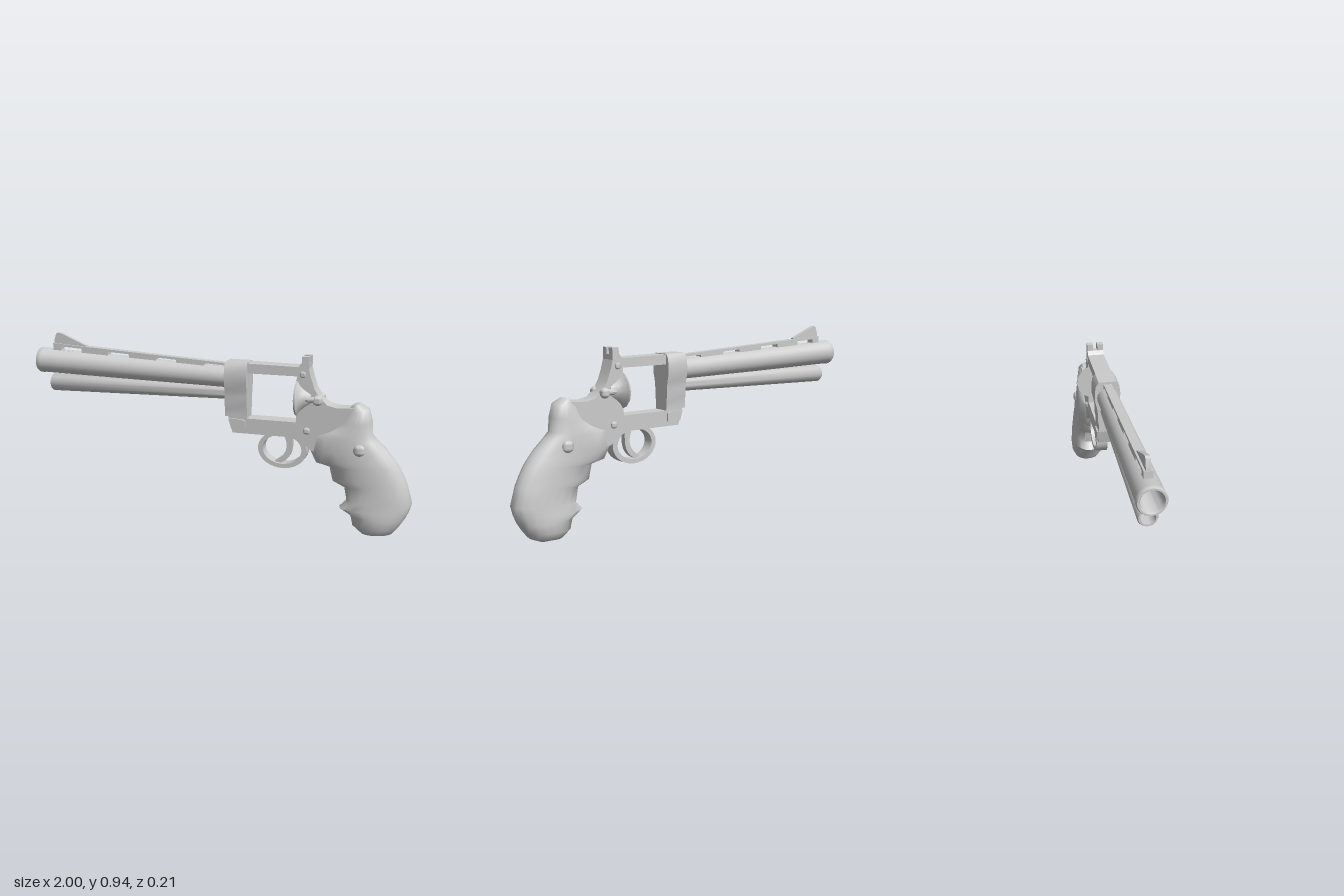
import * as THREE from 'three';
import { toCreasedNormals } from 'three/addons/utils/BufferGeometryUtils.js';

const mat = new THREE.MeshStandardMaterial({ color: 0xcccccc });
const V = (x, y) => new THREE.Vector2(x, y);
const poly = pts => new THREE.Shape(pts.map(p => V(...p)));

export function createModel() {
  const root = new THREE.Group();
  const add = (name, geo, crease = 0.6) => {
    const mesh = new THREE.Mesh(toCreasedNormals(geo, crease), mat);
    mesh.name = name;
    root.add(mesh);
    return mesh;
  };

  // Side profile extruded symmetrically about z = 0
  const plate = (shape, half) =>
    new THREE.ExtrudeGeometry(shape, { depth: half * 2, bevelEnabled: false, curveSegments: 20 })
      .translate(0, 0, -half);

  // Lathe whose axis runs from point a to point b in the xy plane
  const turned = (name, profile, a, b, segments) => {
    const mesh = add(name, new THREE.LatheGeometry(profile.map(p => V(...p)), segments));
    mesh.position.set(a[0], a[1], 0);
    const dir = new THREE.Vector3(b[0] - a[0], b[1] - a[1], 0).normalize();
    mesh.quaternion.setFromUnitVectors(new THREE.Vector3(0, 1, 0), dir);
    return mesh;
  };

  // Tapered hollow barrel with a small muzzle collar, and the tube below it
  turned('barrel', [[0, 0.6], [0.047, 0.6], [0.049, 0.01], [0.055, 0], [0.063, 0], [0.067, 0.008],
    [0.067, 0.025], [0.065, 0.035], [0.053, 1.05], [0.052, 1.15], [0, 1.15]], [-1, 0.789], [0.05, 0.757], 28);
  turned('underTube', [[0, 0.4], [0.033, 0.4], [0.034, 0], [0.042, 0], [0.046, 0.008],
    [0.036, 0.98], [0.036, 1.08], [0, 1.08]], [-0.93, 0.671], [0.05, 0.681], 24);

  // Ventilated rib along the barrel
  const ribTop = x => 0.883 - 0.055 * (x + 0.915);
  const rib = poly([[-0.915, 0.83], [0.06, 0.79], [0.06, ribTop(0.06)], [-0.915, 0.883]]);
  for (const [a, b] of [[-0.87, -0.75], [-0.6, -0.48], [-0.33, -0.22], [-0.07, 0.04]]) {
    rib.holes.push(new THREE.Path([
      V(a, ribTop(a) - 0.013), V(b, ribTop(b) - 0.013), V(b, ribTop(b) - 0.034), V(a, ribTop(a) - 0.034)]));
  }
  add('rib', plate(rib, 0.02));
  add('frontSight', plate(poly([[-0.912, 0.87], [-0.73, 0.868], [-0.73, 0.878], [-0.865, 0.934],
    [-0.888, 0.94], [-0.9, 0.934], [-0.912, 0.895]]), 0.011));

  // Frame with its open window
  const frame = poly([[0.05, 0.84], [0.05, 0.65], [0.065, 0.57], [0.09, 0.482], [0.44, 0.482],
    [0.48, 0.43], [0.55, 0.4], [0.68, 0.46], [0.74, 0.6], [0.7, 0.65], [0.62, 0.645], [0.57, 0.655],
    [0.53, 0.69], [0.505, 0.73], [0.487, 0.78], [0.472, 0.835]]);
  frame.holes.push(new THREE.Path([V(0.165, 0.56), V(0.165, 0.79), V(0.415, 0.79), V(0.415, 0.56)]));
  add('frame', plate(frame, 0.043));

  // Wider front block that wraps the barrel roots
  const half = [[0.045, 0.842], [0.06, 0.82], [0.065, 0.78], [0.064, 0.74], [0.054, 0.7],
    [0.05, 0.67], [0.05, 0.63], [0.044, 0.6], [0.044, 0.565]];
  const section = poly([...half, ...half.map(([z, y]) => [-z, y]).reverse()]);
  add('frontBlock', new THREE.ExtrudeGeometry(section, { depth: 0.115, bevelEnabled: false })
    .rotateY(Math.PI / 2).translate(0.05, 0, 0));
  add('hingeBlock', plate(poly([[0.07, 0.555], [0.085, 0.505], [0.16, 0.505], [0.16, 0.545], [0.14, 0.555]]), 0.052));

  // Notched rear sight
  add('rearSightBase', plate(poly([[0.42, 0.835], [0.474, 0.83], [0.474, 0.855], [0.435, 0.855]]), 0.042));
  for (const side of [-1, 1]) {
    add('rearSightProng', new THREE.BoxGeometry(0.036, 0.035, 0.031).translate(0.456, 0.87, side * 0.0265));
  }

  // Flared shield behind the window
  const shield = turned('recoilShield', [[0, 0], [0.106, 0], [0.107, 0.008], [0.085, 0.02],
    [0.066, 0.04], [0.05, 0.075], [0, 0.08]], [0.412, 0.682], [0.5, 0.682], 14);
  shield.scale.set(0.9, 1, 1);

  // Trigger guard and trigger
  const guard = new THREE.Shape().absellipse(0.346, 0.412, 0.125, 0.097, 0, Math.PI * 2);
  guard.holes.push(new THREE.Path().absellipse(0.345, 0.412, 0.099, 0.075, 0, Math.PI * 2));
  add('triggerGuard', plate(guard, 0.03));
  const trigger = new THREE.Shape();
  trigger.moveTo(0.345, 0.49);
  trigger.quadraticCurveTo(0.4, 0.4, 0.305, 0.345);
  trigger.lineTo(0.32, 0.332);
  trigger.quadraticCurveTo(0.385, 0.35, 0.392, 0.42);
  trigger.lineTo(0.395, 0.49);
  add('trigger', plate(trigger, 0.015));

  // Screws, latch knobs and grip studs on both sides: x, y, z, radius, depth
  const studs = [['frameScrew', 0.445, 0.8, 0.043, 0.016, 0.008], ['frameScrew', 0.47, 0.52, 0.043, 0.018, 0.01],
    ['latchKnob', 0.52, 0.677, 0.043, 0.026, 0.024], ['gripStud', 0.735, 0.45, 0.066, 0.03, 0.02]];
  for (const side of [-1, 1]) {
    for (const [name, x, y, z, r, d] of studs) {
      const stud = add(name, new THREE.SphereGeometry(r, 16, 10), 1);
      stud.position.set(x, y, side * z);
      stud.scale.z = d / r;
    }
    const arm = add('latchArm', new THREE.CylinderGeometry(0.013, 0.016, 0.09, 10).rotateZ(Math.PI / 2));
    arm.position.set(0.475, 0.68, side * 0.047);
  }

  // Grip lofted from rows: front x, y, back x, y, half width
  const rows = [
    [0.685, 0.66, 0.725, 0.668, 0.035], [0.655, 0.62, 0.77, 0.643, 0.054], [0.627, 0.563, 0.787, 0.579, 0.062],
    [0.568, 0.525, 0.79, 0.515, 0.071], [0.5, 0.5, 0.82, 0.485, 0.075], [0.48, 0.42, 0.868, 0.442, 0.075],
    [0.51, 0.36, 0.9, 0.405, 0.074], [0.58, 0.345, 0.927, 0.367, 0.074], [0.598, 0.272, 0.95, 0.325, 0.074],
    [0.658, 0.245, 0.968, 0.283, 0.075], [0.672, 0.175, 0.994, 0.19, 0.081], [0.638, 0.137, 0.982, 0.145, 0.086],
    [0.695, 0.105, 0.963, 0.104, 0.09], [0.707, 0.055, 0.935, 0.06, 0.086], [0.75, 0.018, 0.91, 0.03, 0.07],
    [0.81, 0.006, 0.85, 0.003, 0.012]];
  const n = 20, pos = [], idx = [];
  for (const [fx, fy, bx, by, w] of rows) {
    for (let i = 0; i < n; i++) {
      const a = i / n * Math.PI * 2, t = (1 - Math.cos(a)) / 2, s = Math.sin(a);
      pos.push(fx + (bx - fx) * t, fy + (by - fy) * t, w * Math.sign(s) * Math.abs(s) ** 0.8);
    }
  }
  for (let r = 0; r < rows.length - 1; r++) {
    for (let i = 0; i < n; i++) {
      const j = (i + 1) % n, a = r * n + i, b = r * n + j;
      idx.push(a, a + n, b, b, a + n, b + n);
    }
  }
  // End caps
  const last = (rows.length - 1) * n;
  for (let i = 1; i < n - 1; i++) idx.push(0, i, i + 1, last, last + i + 1, last + i);
  const grip = new THREE.BufferGeometry();
  grip.setAttribute('position', new THREE.Float32BufferAttribute(pos, 3));
  grip.setIndex(idx);
  add('grip', grip, 0.9);

  return root;
}
